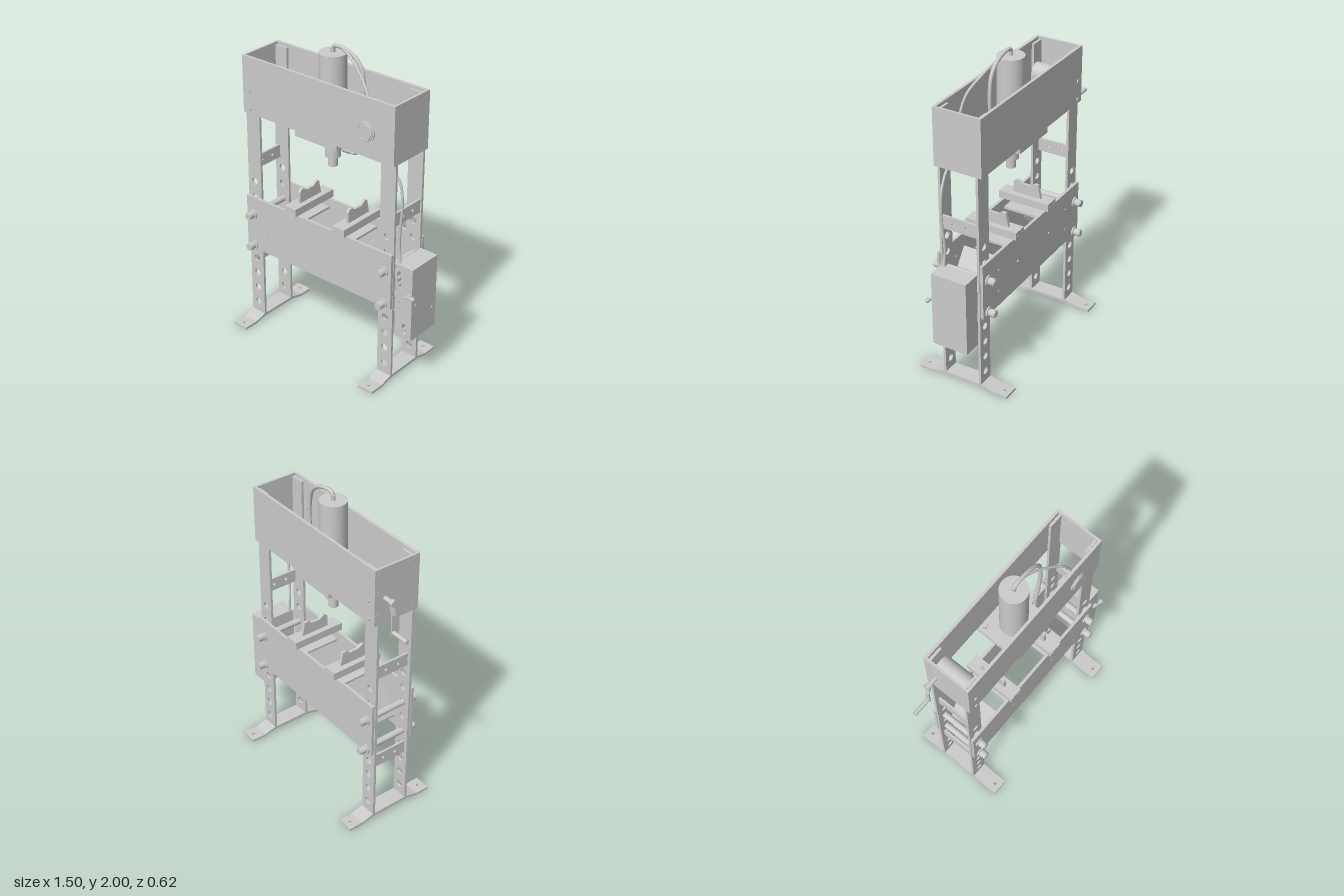
import * as THREE from 'three';

const mat = new THREE.MeshStandardMaterial({ color: 0xcccccc, side: THREE.DoubleSide });
const V = (x, y, z) => new THREE.Vector3(x, y, z);
const X0 = -0.555, X1 = 0.59;           // outer width of the frame
const LEGS = [-0.503, 0.536];           // leg centre lines
const SIDES = [-1, 1];                  // back, front

export function createModel() {
  const root = new THREE.Group();
  root.name = 'hydraulicPress';

  const add = (name, geo, x = 0, y = 0, z = 0) => {
    const m = new THREE.Mesh(geo, mat);
    m.name = name;
    m.position.set(x, y, z);
    root.add(m);
    return m;
  };
  // Box given by its limits
  const box = (name, x0, x1, y0, y1, z0, z1) =>
    add(name, new THREE.BoxGeometry(x1 - x0, y1 - y0, z1 - z0), (x0 + x1) / 2, (y0 + y1) / 2, (z0 + z1) / 2);
  // Round bar between two points
  const rod = (name, a, b, r, sides = 24, r2 = r) => {
    const m = add(name, new THREE.CylinderGeometry(r2, r, a.distanceTo(b), sides));
    m.position.copy(a).add(b).multiplyScalar(0.5);
    m.quaternion.setFromUnitVectors(V(0, 1, 0), b.clone().sub(a).normalize());
    return m;
  };
  // Plate cut from an outline with round holes [x, y, r] and upright slots [x, y, r, halfLength]
  const plateGeo = (pts, holes, depth) => {
    const s = new THREE.Shape(pts.map(p => new THREE.Vector2(...p)));
    for (const [x, y, r, h = 0] of holes) {
      const p = new THREE.Path();
      p.absarc(x, y + h, r, 0, Math.PI, false);
      p.absarc(x, y - h, r, Math.PI, Math.PI * 2, false);
      p.closePath();
      s.holes.push(p);
    }
    return new THREE.ExtrudeGeometry(s, { depth, bevelEnabled: false, curveSegments: 12 });
  };
  const rect = (x0, x1, y0, y1) => [[x0, y0], [x1, y0], [x1, y1], [x0, y1]];
  const hose = (name, pts, r) => add(name, new THREE.TubeGeometry(
    new THREE.CatmullRomCurve3(pts.map(p => V(...p))), 64, r, 10));

  // Legs, feet and cross brackets
  const legHoles = Array.from({ length: 9 }, (_, i) => [0, 0.11 * (i + 1), 0.023]);
  const legGeo = plateGeo(rect(-0.053, 0.053, 0.033, 1.81), legHoles, 0.016);
  const footProfile = [[-0.31, 0], [-0.215, 0], [-0.135, 0.02], [0.135, 0.02], [0.215, 0], [0.31, 0],
    [0.31, 0.016], [0.215, 0.016], [0.135, 0.038], [-0.135, 0.038], [-0.215, 0.016], [-0.31, 0.016]];
  const bracketGeo = plateGeo(rect(-0.117, 0.117, -0.043, 0.043), [[-0.045, 0, 0.009], [0.045, 0, 0.009]], 0.014);
  const footMid = plateGeo(footProfile.map(([z, y]) => [Math.max(-0.22, Math.min(0.22, z)), y]), [], 0.106);
  const footEnd = plateGeo(rect(-0.053, 0.053, 0.215, 0.31), [[0, 0.27, 0.01]], 0.016);
  LEGS.forEach((x, i) => {
    const out = i ? 1 : -1;
    for (const s of SIDES) {
      add('leg', legGeo, x, 0, s * 0.125 - 0.008);
      const end = add('footPad', footEnd, x, s > 0 ? 0.016 : 0, 0);
      end.rotation.x = s * Math.PI / 2;
    }
    add('foot', footMid, x - 0.053, 0, 0).rotation.y = -Math.PI / 2;
    root.children.at(-1).position.x = x + 0.053;
    for (const y of [1.103, 0.44])
      add('crossBracket', bracketGeo, x + out * 0.03, y, 0).rotation.y = Math.PI / 2;

    // Table pins with washers and collars
    for (const y of [0.77, 0.55]) {
      rod('tablePin', V(x, y, -0.21), V(x, y, 0.21), 0.02);
      for (const s of SIDES) {
        rod('pinWasher', V(x, y, s * 0.156), V(x, y, s * 0.166), 0.034, 12);
        rod('pinCollar', V(x, y, s * 0.166), V(x, y, s * 0.205), 0.024, 24);
      }
    }
  });

  // Table beam plates
  const beamHoles = [];
  for (const x of [-0.385, 0.42]) for (const y of [0.63, 0.775]) beamHoles.push([x, y, 0.006]);
  for (const x of [-0.175, 0.2]) beamHoles.push([x, 0.715, 0.008]);
  const beamGeo = plateGeo(rect(X0, X1, 0.525, 0.89), beamHoles, 0.018);
  for (const s of SIDES) add('tableBeam', beamGeo, 0, 0, s * 0.147 - 0.009);

  // Sloping stiffeners inside the beam
  for (const [xa, xb] of [[-0.30, -0.41], [0.33, 0.475]]) {
    const slope = plateGeo([[xa, 0.8], [xb, 0.6], [xb, 0.585], [xa, 0.785]], [], 0.276);
    add('beamStiffener', slope, 0, 0, -0.138);
  }

  // Support blocks with notched vee plates
  const vee = plateGeo([[-0.1, 0], [0.09, 0], [0.09, 0.07], [0.08, 0.085], [0.06, 0.09], [0.03, 0.07],
    [-0.03, 0.07], [-0.055, 0.09], [-0.082, 0.09]], [], 0.02);
  for (const x of [-0.175, 0.205]) {
    box('supportBlock', x - 0.045, x + 0.045, 0.89, 0.94, -0.175, 0.175);
    box('blockKeeper', x - 0.045, x + 0.045, 0.82, 0.835, -0.138, 0.138);
    add('veePlate', vee, x + 0.01, 0.94, 0).rotation.y = -Math.PI / 2;
    for (const s of SIDES) for (const dx of [-0.025, 0.025])
      rod('blockScrew', V(x + dx, 0.915, s * 0.174), V(x + dx, 0.915, s * 0.178), 0.006, 10);
  }

  // Open-topped head: two long plates with a centre tab, two end plates
  const headGeo = plateGeo([[X0, 1.46], [-0.14, 1.46], [-0.14, 1.425], [0.175, 1.425], [0.175, 1.46],
    [X1, 1.46], [X1, 1.825], [X0, 1.825]], [], 0.018);
  for (const s of SIDES) {
    add('headPlate', headGeo, 0, 0, s * 0.147 - 0.009);
    for (const y of [1.49, 1.61])
      rod('headBolt', V(LEGS[0], y, s * 0.156), V(LEGS[0], y, s * 0.164), 0.011, 12);
  }
  box('headEnd', X0, X0 + 0.015, 1.46, 1.825, -0.138, 0.138);
  box('headEnd', X1 - 0.015, X1, 1.46, 1.825, -0.138, 0.138);

  // Cylinder, ram and mounting plate
  const cx = 0.016;
  box('mountingPlate', -0.14, 0.175, 1.422, 1.455, -0.138, 0.138);
  for (const x of [-0.105, 0.137]) for (const z of [-0.115, 0.115]) {
    rod('mountingBolt', V(x, 1.41, z), V(x, 1.422, z), 0.016, 6);
    rod('mountingNut', V(x, 1.455, z), V(x, 1.475, z), 0.016, 6);
  }
  rod('cylinder', V(cx, 1.455, 0), V(cx, 1.945, 0), 0.083, 40);
  rod('cylinderNose', V(cx, 1.29, 0), V(cx, 1.422, 0), 0.048, 32);
  rod('ram', V(cx, 1.228, 0), V(cx, 1.29, 0), 0.03, 32);
  rod('topFitting', V(cx, 1.945, 0), V(cx, 1.975, 0), 0.014, 6);
  rod('noseFitting', V(0.06, 1.36, 0), V(0.095, 1.36, 0), 0.013, 12);
  rod('noseNut', V(0.095, 1.36, 0), V(0.15, 1.36, 0), 0.018, 6);

  // Hoses
  hose('returnHose', [[cx, 1.965, 0], [0.025, 1.985, 0], [0.09, 1.988, 0], [0.17, 1.96, 0], [0.225, 1.9, 0],
    [0.245, 1.8, 0], [0.235, 1.6, 0], [0.212, 1.46, 0], [0.205, 1.38, 0], [0.185, 1.36, 0], [0.14, 1.36, 0]], 0.012);
  hose('feedHose', [[cx, 1.96, 0], [0.035, 1.99, 0], [0.12, 1.972, 0.008], [0.24, 1.905, 0.045], [0.34, 1.815, 0.09],
    [0.39, 1.68, 0.112], [0.4, 1.52, 0.112], [0.45, 1.447, 0.11], [0.54, 1.42, 0.105], [0.597, 1.34, 0.1],
    [0.615, 1.22, 0.1], [0.608, 1.08, 0.1], [0.598, 0.95, 0.095], [0.61, 0.82, 0.095]], 0.008);

  // Pressure gauge
  rod('gaugeBody', V(0.39, 1.62, 0.15), V(0.39, 1.62, 0.163), 0.064, 40);
  rod('gaugeFace', V(0.39, 1.62, 0.163), V(0.39, 1.62, 0.17), 0.052, 40, 0.046);
  add('gaugeRim', new THREE.TorusGeometry(0.052, 0.005, 8, 40), 0.39, 1.62, 0.165);

  // Winch housing with a rounded top, and its crank
  const hood = new THREE.Shape();
  hood.moveTo(-0.54, 1.48);
  hood.lineTo(-0.412, 1.48);
  hood.lineTo(-0.412, 1.62);
  hood.absarc(-0.476, 1.62, 0.064, 0, Math.PI, false);
  add('winchHousing', new THREE.ExtrudeGeometry(hood, { depth: 0.23, bevelEnabled: false, curveSegments: 20 }), 0, 0, -0.115);
  const cz = -0.084;
  rod('crankShaft', V(X0, 1.627, cz), V(-0.612, 1.627, cz), 0.014);
  rod('crankHub', V(-0.606, 1.627, cz), V(-0.635, 1.627, cz), 0.02);
  const arm = [[-0.61, 1.645], [-0.61, 1.605], [-0.628, 1.55], [-0.628, 1.425],
    [-0.636, 1.425], [-0.636, 1.553], [-0.618, 1.608], [-0.618, 1.645]];
  add('crankArm', plateGeo(arm, [], 0.028), 0, 0, cz - 0.014);
  rod('crankHandle', V(-0.63, 1.44, cz), V(-0.75, 1.44, cz), 0.013);

  // Control box with slotted front
  const [bx0, bx1, by0, by1] = [0.595, 0.716, 0.337, 0.825];
  const slots = [[0.62, 0.73, 0.013, 0.04], [0.665, 0.4, 0.013, 0.025]];
  add('controlBoxFront', plateGeo(rect(bx0, bx1, by0, by1), [...slots, [0.625, 0.57, 0.006]], 0.006), 0, 0, 0.11);
  box('controlBoxBack', bx0, bx1, by0, by1, -0.12, -0.114);
  box('controlBoxInner', bx0, bx0 + 0.006, by0, by1, -0.114, 0.11);
  box('controlBoxOuter', bx1 - 0.006, bx1, by0, by1, -0.114, 0.11);
  box('controlBoxTop', bx0 + 0.006, bx1 - 0.006, by1 - 0.006, by1, -0.114, 0.11);
  box('controlBoxBottom', bx0 + 0.006, bx1 - 0.006, by0, by0 + 0.006, -0.114, 0.11);
  for (const [x, y] of [[0.62, 0.745], [0.62, 0.7], [0.665, 0.395]])
    rod('slotBolt', V(x, y, 0.09), V(x, y, 0.122), 0.011, 6);
  for (const [y, z] of [[0.57, 0.08], [0.48, -0.085]])
    rod('boxScrew', V(bx1, y, z), V(bx1 + 0.005, y, z), 0.009, 12);

  // Control lever
  rod('leverHub', V(0.69, 0.637, 0.11), V(0.69, 0.637, 0.128), 0.02, 20);
  rod('leverStem', V(0.675, 0.634, 0.124), V(0.733, 0.645, 0.134), 0.007, 12);
  add('leverKnob', new THREE.SphereGeometry(0.015, 20, 14), 0.733, 0.645, 0.134);

  return root;
}
